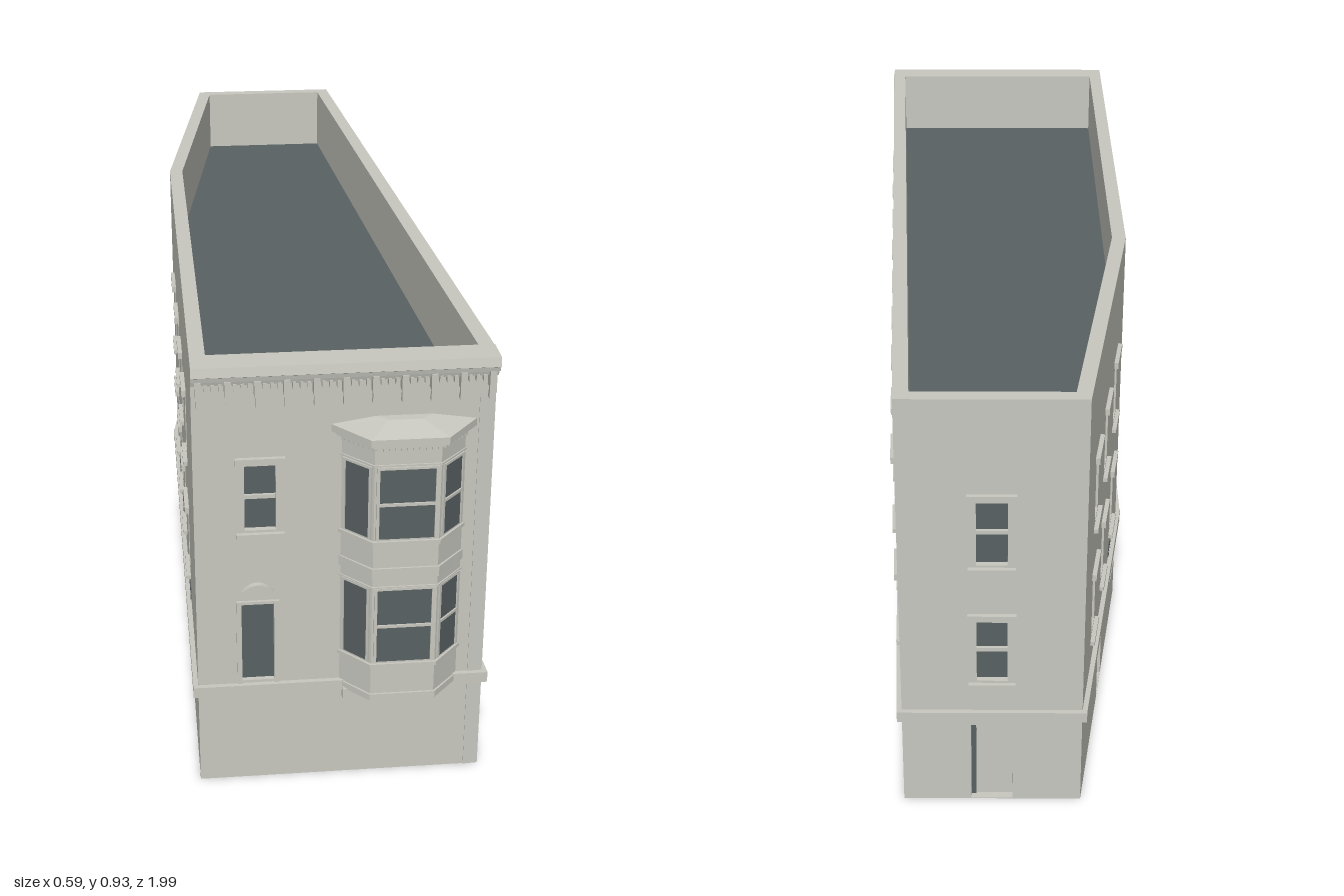
import * as THREE from 'three';

const stone = new THREE.MeshStandardMaterial({ color: 0xc8c8c0 });
stone.name = 'pale stone';
const slate = new THREE.MeshStandardMaterial({ color: 0x596162 });
slate.name = 'dark slate';

const H = 0.93, T = 0.03;

// Box given by its centre in x, its bottom and top, and its back and front
function block(parent, name, x, w, y0, y1, z0, z1, mat = stone) {
  const m = new THREE.Mesh(new THREE.BoxGeometry(w, y1 - y0, z1 - z0), mat);
  m.position.set(x, (y0 + y1) / 2, (z0 + z1) / 2);
  m.name = name;
  parent.add(m);
  return m;
}

// Group whose x runs from a to b and whose z points outward
function facing(parent, name, a, b) {
  const g = new THREE.Group();
  g.name = name;
  g.position.set(a[0], 0, a[1]);
  g.rotation.y = Math.atan2(a[1] - b[1], b[0] - a[0]);
  g.userData.length = Math.hypot(b[0] - a[0], b[1] - a[1]);
  parent.add(g);
  return g;
}

function rect(Type, x0, x1, y0, y1) {
  const s = new Type();
  s.moveTo(x0, y0); s.lineTo(x1, y0); s.lineTo(x1, y1); s.lineTo(x0, y1);
  s.closePath();
  return s;
}

// Sash window with meeting rail, lintel and sill
function sashWindow(parent, x, y0, y1) {
  const g = new THREE.Group();
  g.name = 'sashWindow';
  parent.add(g);
  block(g, 'glass', x, 0.064, y0, y1, -0.018, -0.012, slate);
  block(g, 'meetingRail', x, 0.064, (y0 + y1) / 2 - 0.004, (y0 + y1) / 2 + 0.004, -0.014, -0.006);
  block(g, 'lintel', x, 0.095, y1 + 0.004, y1 + 0.018, -0.005, 0.009);
  block(g, 'sill', x, 0.092, y0 - 0.014, y0 - 0.005, -0.005, 0.009);
}

// Recessed door leaf, dark on the inside, with a narrow side light
function doorway(parent, x) {
  const g = new THREE.Group();
  g.name = 'doorway';
  parent.add(g);
  block(g, 'doorLeaf', x, 0.085, 0.002, 0.19, -0.02, -0.016);
  block(g, 'doorBack', x, 0.085, 0.002, 0.19, -0.027, -0.02, slate);
  block(g, 'sideLight', x - 0.037, 0.01, 0.002, 0.19, -0.018, -0.014, slate);
}

// Basement grille above and below the string course
function grille(parent, x) {
  for (const [y0, y1] of [[0.176, 0.203], [0.234, 0.262]]) {
    block(parent, 'grille', x, 0.088, y0, y1, -0.004, 0.002, slate);
    block(parent, 'grilleBar', x, 0.088, (y0 + y1) / 2 - 0.001, (y0 + y1) / 2 + 0.001, 0, 0.004);
  }
  block(parent, 'grilleSill', x, 0.09, 0.167, 0.175, -0.004, 0.008);
}

// One pierced wall with all its openings
function buildWall(parent, name, a, b, { windows = [], doors = [], grilles = [], extra = [], rows }) {
  const g = facing(parent, name, a, b), L = g.userData.length;
  const shape = rect(THREE.Shape, 0, L, 0, H);
  const levels = rows || [[0.3, 0.442], [0.572, 0.712]];
  for (const x of windows) for (const [y0, y1] of levels) {
    shape.holes.push(rect(THREE.Path, x - 0.03, x + 0.03, y0, y1));
    sashWindow(g, x, y0, y1);
  }
  for (const x of doors) {
    shape.holes.push(rect(THREE.Path, x - 0.042, x + 0.042, 0.002, 0.19));
    doorway(g, x);
  }
  for (const h of extra) shape.holes.push(rect(THREE.Path, ...h));
  grilles.forEach(x => grille(g, x));
  const geo = new THREE.ExtrudeGeometry(shape, { depth: T, bevelEnabled: false });
  geo.translate(0, 0, -T);
  const m = new THREE.Mesh(geo, stone);
  m.name = name + 'Masonry';
  g.add(m);
  block(g, 'stringCourse', L / 2, L + 0.018, 0.205, 0.228, -0.004, 0.01);
  return g;
}

// Three-sided bay plan, grown outward by d
const bayPlan = d => [[-0.005 - d, 0.92], [0.05 - d * 0.5, 0.978 + d], [0.176 + d * 0.5, 0.978 + d], [0.231 + d, 0.92]];

function baySlab(parent, name, y0, y1, d) {
  const s = new THREE.Shape(bayPlan(d).map(([x, z]) => new THREE.Vector2(x, -z)));
  const geo = new THREE.ExtrudeGeometry(s, { depth: y1 - y0, bevelEnabled: false });
  geo.rotateX(-Math.PI / 2).translate(0, y0, 0);
  const m = new THREE.Mesh(geo, stone);
  m.name = name;
  parent.add(m);
}

function buildBay(parent) {
  const bay = new THREE.Group();
  bay.name = 'bayWindow';
  parent.add(bay);
  const slabs = [['corbel', 0.2, 0.212, -0.02], ['base', 0.212, 0.226, 0.004], ['body', 0.226, 0.77, 0],
    ['lowerSill', 0.288, 0.296, 0.005], ['lowerHead', 0.466, 0.47, 0.003], ['belt', 0.49, 0.511, 0.004],
    ['upperSill', 0.562, 0.57, 0.005], ['upperHead', 0.728, 0.732, 0.003],
    ['cornice', 0.77, 0.778, 0.01], ['eaves', 0.778, 0.793, 0.02]];
  for (const s of slabs) baySlab(bay, ...s);

  // Glazing and frames on each face
  const p = bayPlan(0);
  for (let i = 0; i < 3; i++) {
    const f = facing(bay, 'bayFace', p[i], p[i + 1]), L = f.userData.length;
    const w = i === 1 ? 0.106 : L - 0.022;
    for (const [y0, y1] of [[0.3, 0.462], [0.574, 0.722]]) {
      block(f, 'bayGlass', L / 2, w, y0, y1, -0.002, 0.001, slate);
      for (const s of [-1, 1]) block(f, 'bayJamb', L / 2 + s * (w / 2 + 0.003), 0.006, y0, y1, -0.002, 0.004);
      block(f, 'bayHead', L / 2, w + 0.012, y1, y1 + 0.005, -0.002, 0.004);
      if (i > 0) block(f, 'bayRail', L / 2, w, (y0 + y1) / 2 - 0.003, (y0 + y1) / 2 + 0.003, -0.002, 0.004);
    }
    const n = Math.round(L / 0.011);
    for (let k = 0; k < n; k++) block(f, 'bayDentil', (k + 0.5) * L / n, 0.006, 0.762, 0.77, -0.002, 0.006);
  }
  for (const x of [0.005, 0.203]) block(bay, 'bayBracket', x, 0.01, 0.19, 0.214, 0.915, 0.94);

  // Hipped bay roof built from the eaves outline to a smaller upper outline
  const lo = bayPlan(0.02), hi = [[0.06, 0.92], [0.08, 0.94], [0.146, 0.94], [0.166, 0.92]], pos = [];
  const put = (q, y) => pos.push(q[0], y, q[1]);
  for (let i = 0; i < 3; i++) {
    put(lo[i], 0.793); put(lo[i + 1], 0.793); put(hi[i + 1], 0.806);
    put(lo[i], 0.793); put(hi[i + 1], 0.806); put(hi[i], 0.806);
  }
  for (const i of [0, 1, 2, 0, 2, 3]) put(hi[i], 0.806);
  const geo = new THREE.BufferGeometry();
  geo.setAttribute('position', new THREE.Float32BufferAttribute(pos, 3));
  geo.computeVertexNormals();
  const roof = new THREE.Mesh(geo, stone);
  roof.name = 'bayRoof';
  bay.add(roof);
}

// Moulded street cornice with brackets and dentils
function buildCornice(parent) {
  const profile = [[0.92, 0.93], [0.952, 0.93], [0.956, 0.912], [0.95, 0.909], [0.948, 0.9], [0.938, 0.897], [0.935, 0.887], [0.92, 0.887]];
  const s = new THREE.Shape(profile.map(([z, y]) => new THREE.Vector2(-z, y)));
  const geo = new THREE.ExtrudeGeometry(s, { depth: 0.572, bevelEnabled: false });
  geo.rotateY(Math.PI / 2).translate(-0.287, 0, 0);
  const m = new THREE.Mesh(geo, stone);
  m.name = 'cornice';
  parent.add(m);
  block(parent, 'frieze', -0.001, 0.572, 0.845, 0.89, 0.918, 0.924);
  for (let i = 0; i < 11; i++) {
    const x = -0.274 + i * 0.0547;
    block(parent, 'corniceBracket', x, 0.012, 0.865, 0.898, 0.918, 0.946);
    block(parent, 'bracketDrop', x, 0.007, 0.838, 0.866, 0.918, 0.934);
    if (i < 10) for (let k = 1; k < 4; k++) block(parent, 'dentil', x + k * 0.0137, 0.006, 0.876, 0.89, 0.918, 0.938);
  }
}

// Street door with frame and arched hood
function buildEntrance(parent) {
  const x = -0.167;
  block(parent, 'entranceGlass', x, 0.064, 0.234, 0.412, 0.904, 0.91, slate);
  for (const s of [-1, 1]) block(parent, 'entranceJamb', x + s * 0.037, 0.01, 0.23, 0.412, 0.918, 0.926);
  block(parent, 'entranceHead', x, 0.084, 0.412, 0.418, 0.918, 0.926);
  const s = new THREE.Shape();
  s.moveTo(-0.032, 0.442);
  s.quadraticCurveTo(0, 0.475, 0.032, 0.442);
  s.lineTo(0.02, 0.442);
  s.quadraticCurveTo(0, 0.457, -0.02, 0.442);
  s.closePath();
  const hood = new THREE.Mesh(new THREE.ExtrudeGeometry(s, { depth: 0.014, bevelEnabled: false }), stone);
  hood.position.set(x, 0, 0.918);
  hood.name = 'archedHood';
  parent.add(hood);
}

export function createModel() {
  const model = new THREE.Group();
  model.name = 'cornerBuilding';
  const A = [-0.287, 0.92], B = [0.285, 0.92], C = [0.18, -0.985], D = [-0.18, -0.985], E = [-0.287, -0.245];
  // Distance along a wall at a given depth
  const along = (a, b, list) => list.map(z => (z - a[1]) / (b[1] - a[1]) * Math.hypot(b[0] - a[0], b[1] - a[1]));

  buildWall(model, 'frontWall', A, B, {
    windows: [0.127], rows: [[0.574, 0.712]], extra: [[0.088, 0.152, 0.234, 0.412]] });
  const zs = [0.755, 0.56, 0.365, 0.165, -0.025, -0.22, -0.415, -0.61, -0.805];
  buildWall(model, 'leftWall', B, C, {
    windows: along(B, C, zs), doors: along(B, C, [-0.025]), grilles: along(B, C, zs.filter(z => z !== -0.025)) });
  buildWall(model, 'backWall', C, D, { windows: [0.18], doors: [0.18] });
  buildWall(model, 'rightRearWall', D, E, {
    windows: along(D, E, [-0.805, -0.61, -0.405]), doors: along(D, E, [-0.61]), grilles: along(D, E, [-0.405]) });
  buildWall(model, 'rightFrontWall', E, A, {
    windows: along(E, A, [-0.03, 0.165, 0.365, 0.56]), doors: along(E, A, [0.365]), grilles: along(E, A, [-0.03, 0.165, 0.56]) });

  // Sunken flat roof inside the parapet
  const plan = [[-0.27, 0.905], [0.268, 0.905], [0.167, -0.97], [-0.167, -0.97], [-0.27, -0.245]];
  const roofGeo = new THREE.ExtrudeGeometry(
    new THREE.Shape(plan.map(([x, z]) => new THREE.Vector2(x, -z))), { depth: 0.01, bevelEnabled: false });
  roofGeo.rotateX(-Math.PI / 2).translate(0, 0.77, 0);
  const roof = new THREE.Mesh(roofGeo, slate);
  roof.name = 'flatRoof';
  model.add(roof);

  block(model, 'innerPanel', -0.235, 0.045, 0.02, 0.19, 0.884, 0.891, slate);
  buildEntrance(model);
  buildBay(model);
  buildCornice(model);
  return model;
}
